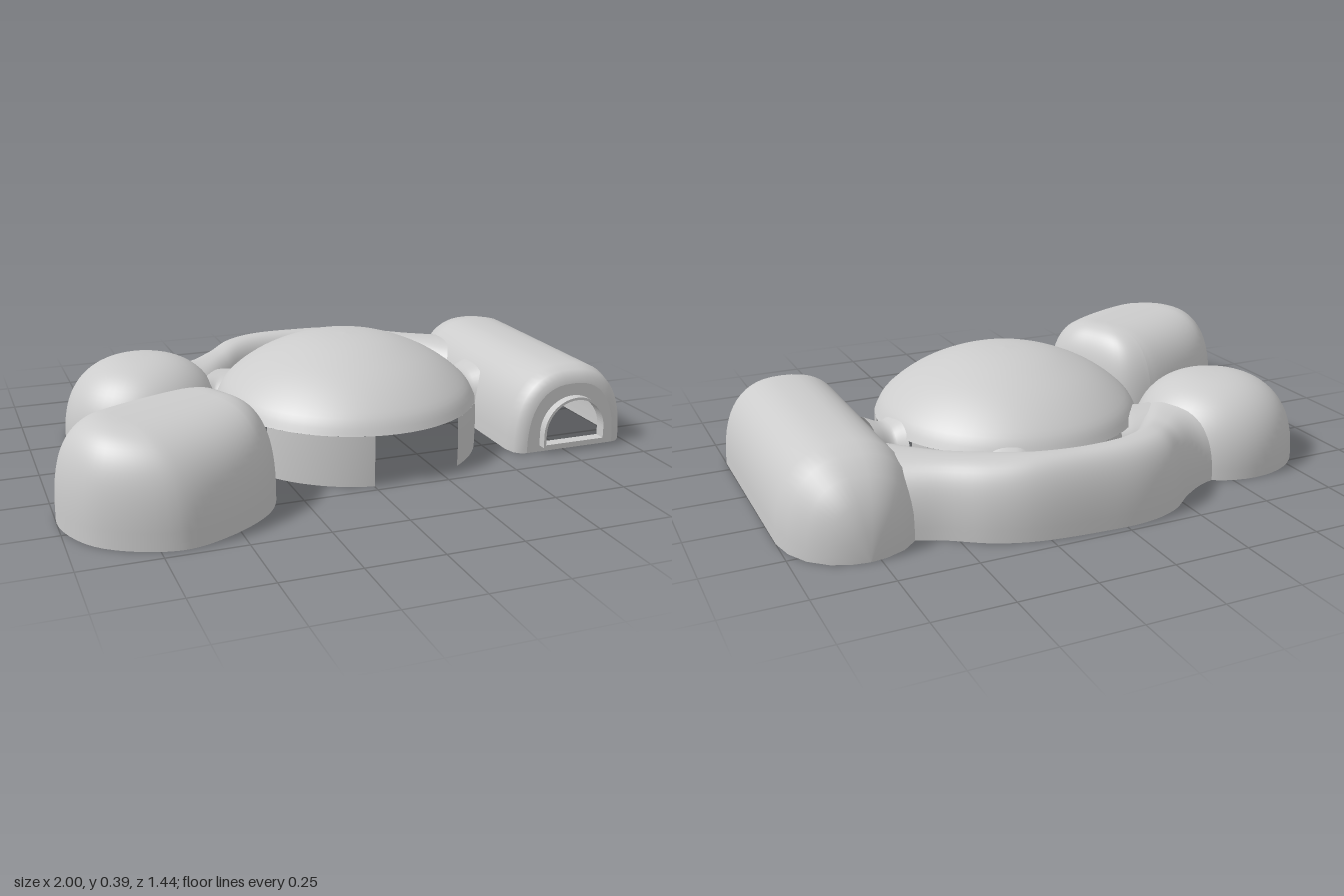
import * as THREE from 'three';

const material = new THREE.MeshStandardMaterial({ color: 0xcccccc, side: THREE.DoubleSide });
const V = (x, y, z) => new THREE.Vector3(x, y, z);

function add(parent, name, geometry) {
  const mesh = new THREE.Mesh(geometry, material);
  mesh.name = name;
  parent.add(mesh);
  return mesh;
}

// Skin a list of equally long rows of points
function loft(rows) {
  const n = rows[0].length, index = [];
  for (let i = 0; i < rows.length - 1; i++) {
    for (let j = 0; j < n - 1; j++) {
      const a = i * n + j, b = a + n;
      index.push(a, a + 1, b, b, a + 1, b + 1);
    }
  }
  const g = new THREE.BufferGeometry().setFromPoints(rows.flat());
  g.setIndex(index);
  g.computeVertexNormals();
  return g;
}

// Arch standing on the ground from a to b; a small e makes it boxier
function arch(a, b, h, e = 0.8, n = 28) {
  return Array.from({ length: n + 1 }, (_, i) => {
    const t = (i / n) * Math.PI, c = Math.cos(t);
    const p = a.clone().lerp(b, 0.5 - 0.5 * Math.sign(c) * Math.abs(c) ** e);
    p.y = h * Math.max(0, Math.sin(t)) ** e;
    return p;
  });
}

// Tunnel through sections [ax, az, bx, bz, height], smoothed between them
function tunnel(sections, steps, e) {
  const left = new THREE.CatmullRomCurve3(sections.map(s => V(s[0], s[4], s[1])));
  const right = new THREE.CatmullRomCurve3(sections.map(s => V(s[2], 0, s[3])));
  const rows = [];
  for (let i = 0; i <= steps; i++) {
    const a = left.getPoint(i / steps), b = right.getPoint(i / steps), h = a.y;
    a.y = 0;
    rows.push(arch(a, b, h, e));
  }
  return loft(rows);
}

// Half-round doorway outline
function doorOutline(target, r, y0, h) {
  target.moveTo(-r, y0);
  target.lineTo(r, y0);
  target.absellipse(0, y0 + h - r, r, r, 0, Math.PI, false);
  target.lineTo(-r, y0);
  return target;
}

function mainDome() {
  const g = new THREE.Group();
  g.name = 'mainDome';
  const roof = new THREE.SplineCurve([[0.453, 0.17], [0.425, 0.22], [0.36, 0.276], [0.28, 0.323],
    [0.18, 0.362], [0.09, 0.381], [0, 0.387]].map(p => new THREE.Vector2(...p))).getPoints(24);
  roof[roof.length - 1].x = 0;
  add(g, 'domeRoof', new THREE.LatheGeometry(roof, 64));
  // Wall pieces between the doorways
  const wall = [[0.456, 0], [0.457, 0.09], [0.453, 0.17]].map(p => new THREE.Vector2(...p));
  for (const [from, to] of [[0.58, 1.4], [1.98, 2.51], [2.96, 3.7], [4.36, 5.1], [5.31, 6.11]]) {
    add(g, 'domeWall', new THREE.LatheGeometry(wall, 12, from, to - from));
  }
  g.position.x = 0.08;
  g.scale.z = 1.045;
  return g;
}

function longHall() {
  const g = new THREE.Group();
  g.name = 'longHall';
  // [z, half width, height]
  const sections = [[0.375, 0.17, 0.235], [0.37, 0.19, 0.258], [0.352, 0.21, 0.278], [0.31, 0.22, 0.29],
    [0.1, 0.22, 0.29], [-0.15, 0.22, 0.29], [-0.38, 0.22, 0.29], [-0.46, 0.204, 0.276], [-0.53, 0.167, 0.235],
    [-0.58, 0.112, 0.17], [-0.605, 0.05, 0.09], [-0.612, 0.002, 0.002]];
  add(g, 'hallShell', loft(sections.map(([z, w, h]) => arch(V(-w, 0, z), V(w, 0, z), h))));
  // Front wall pierced by the doorway
  const [z, w, h] = sections[0];
  const face = new THREE.Shape(arch(V(-w, 0, 0), V(w, 0, 0), h).map(p => new THREE.Vector2(p.x, p.y)));
  face.holes.push(doorOutline(new THREE.Path(), 0.12, 0.025, 0.165));
  add(g, 'hallFront', new THREE.ShapeGeometry(face, 20)).position.z = z;
  const frame = doorOutline(new THREE.Shape(), 0.122, 0.023, 0.169);
  frame.holes.push(doorOutline(new THREE.Path(), 0.113, 0.032, 0.151));
  add(g, 'doorFrame', new THREE.ExtrudeGeometry(frame, { depth: 0.04, bevelEnabled: false, curveSegments: 20 }))
    .position.z = 0.365;
  g.position.x = 0.78;
  return g;
}

// Rounded hut whose walls close onto a straight roof ridge
function ridgedHut() {
  const outline = new THREE.CatmullRomCurve3([[-0.56, 0.065], [-0.72, 0.1], [-0.92, 0.22], [-1, 0.4], [-0.92, 0.61],
    [-0.7, 0.718], [-0.54, 0.675], [-0.375, 0.55], [-0.32, 0.41], [-0.365, 0.27], [-0.46, 0.1]]
    .map(([x, z]) => V(x, 0, z)), true).getPoints(72);
  const ridge = new THREE.Line3(V(-0.8, 0, 0.45), V(-0.5, 0, 0.32));
  const rows = [];
  for (let i = 0; i <= 20; i++) {
    const t = (i / 20) * Math.PI / 2;
    const y = 0.325 * Math.sin(t) ** 0.7, s = Math.max(0, Math.cos(t)) ** 0.7;
    rows.push(outline.map(p => {
      const q = ridge.closestPointToPoint(p, true, V()).lerp(p, s);
      q.y = y;
      return q;
    }));
  }
  return loft(rows);
}

export function createModel() {
  const model = new THREE.Group();
  model.name = 'domeHabitat';
  model.add(mainDome(), longHall());
  add(model, 'ridgedHut', ridgedHut());

  // Round hut
  const profile = Array.from({ length: 21 }, (_, i) => {
    const t = (i / 20) * Math.PI / 2;
    return new THREE.Vector2(0.282 * Math.max(0, Math.cos(t)) ** 0.8, 0.29 * Math.sin(t) ** 0.8);
  });
  add(model, 'roundHut', new THREE.LatheGeometry(profile, 48)).position.set(-0.585, 0, -0.295);

  // Curved corridor around the back
  add(model, 'backCorridor', tunnel([
    [-0.58, -0.52, -0.5, -0.08, 0.26], [-0.41, -0.54, -0.37, -0.15, 0.22], [-0.3, -0.6, -0.23, -0.35, 0.22],
    [-0.2, -0.68, -0.15, -0.45, 0.235], [-0.08, -0.72, -0.05, -0.51, 0.24], [0.1, -0.72, 0.08, -0.53, 0.24],
    [0.3, -0.695, 0.2, -0.51, 0.24], [0.42, -0.65, 0.33, -0.43, 0.235], [0.56, -0.56, 0.45, -0.34, 0.23],
    [0.72, -0.5, 0.57, -0.18, 0.23]], 54, 0.8));

  // Short passages from the dome doorways
  add(model, 'hallPassage', tunnel([
    [0.5, -0.2, 0.5, 0.1, 0.215], [0.54, -0.16, 0.54, 0.06, 0.195], [0.6, -0.19, 0.6, 0.09, 0.215]], 8, 0.7));
  add(model, 'corridorPassage', tunnel([
    [0.16, -0.46, 0.345, -0.365, 0.2], [0.18, -0.5, 0.36, -0.4, 0.185], [0.2, -0.56, 0.39, -0.47, 0.2]], 8, 0.7));
  add(model, 'roundHutPassage', tunnel([
    [-0.16, -0.39, -0.35, -0.16, 0.2], [-0.2, -0.41, -0.37, -0.17, 0.2], [-0.27, -0.44, -0.42, -0.15, 0.2]], 8, 0.7));
  add(model, 'ridgedHutPassage', tunnel([
    [-0.34, 0.17, -0.285, 0.26, 0.17], [-0.37, 0.19, -0.32, 0.28, 0.165], [-0.42, 0.21, -0.36, 0.3, 0.17]], 8, 0.5));
  return model;
}
